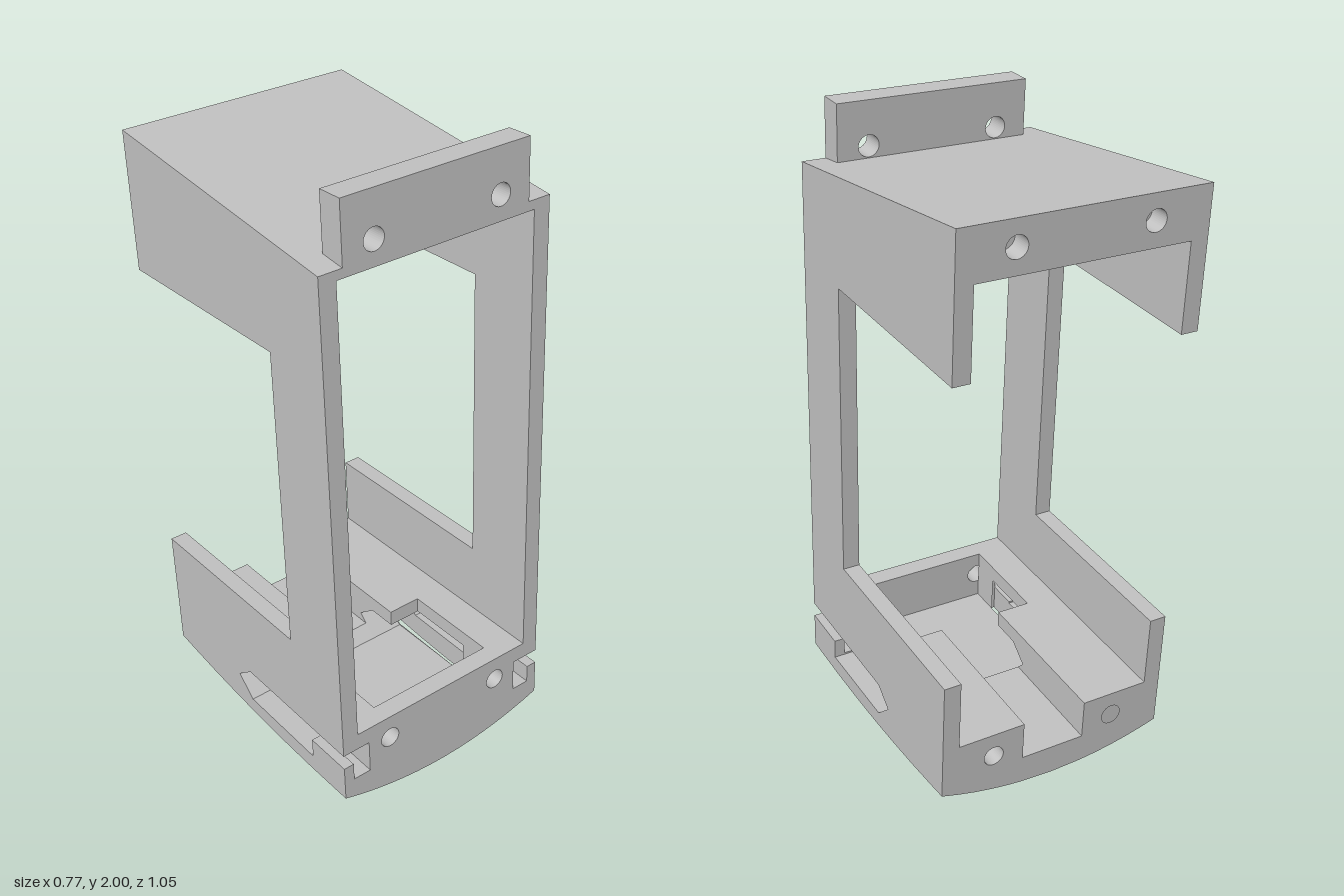
import * as THREE from 'three';

const TILT = 0.067;            // the whole frame leans back by this angle
const FRONT = 0.524, BACK = -0.397, PLATE = 0.46, REAR = -0.33;
const HALF = 0.385, INNER = 0.33, FLOOR = 0.28, CEILING = 1.76;

// Gently domed underside and sloping roof, in the leaning frame
const bottom = (x, z) =>
  0.005 + 0.1 * (z - 0.03) ** 2 + 0.062 * (x / HALF) ** 2 - Math.sin(TILT) * z;
const roof = (x, z) => 1.916 - (z - BACK) * 0.1386;

const range = (a, b, n) => Array.from({ length: n + 1 }, (_, i) => a + ((b - a) * i) / n);

export function createModel() {
  const group = new THREE.Group();
  group.name = 'bracketFrame';
  const grey = new THREE.MeshStandardMaterial({ color: 0xc0c0c0 });
  grey.name = 'grey';

  const circle = (x, y, r = 0.033) => new THREE.Path().absarc(x, y, r, 0, Math.PI * 2, true);
  const toShape = (pts) => new THREE.Shape(pts.map(([a, b]) => new THREE.Vector2(a, b)));

  // Move points lying on the underside or roof on to the curved surface
  function finish(name, geo, nominal) {
    const p = geo.attributes.position;
    for (let i = 0; i < p.count; i++) {
      const x = p.getX(i), y = p.getY(i), z = p.getZ(i);
      const [nx, nz] = nominal(x, z);
      for (const f of [bottom, roof]) {
        if (Math.abs(y - f(nx, nz)) < 1e-5) p.setY(i, f(x, z));
      }
    }
    geo.computeVertexNormals();
    const mesh = new THREE.Mesh(geo, grey);
    mesh.name = name;
    group.add(mesh);
  }

  // Slice across x: outline given as [z, y] for the middle of the slice
  function slice(name, x0, x1, outline, hole) {
    const xm = (x0 + x1) / 2;
    const flip = (pts) => pts.map(([z, y]) => [-z, y]);
    const shape = toShape(flip(outline(xm)));
    if (hole) shape.holes.push(toShape(flip(hole)));
    const geo = new THREE.ExtrudeGeometry(shape, { depth: x1 - x0, bevelEnabled: false });
    geo.rotateY(Math.PI / 2).translate(x0, 0, 0);
    finish(name, geo, (x, z) => [xm, z]);
  }
  function slicePair(name, x0, x1, outline, hole) {
    slice(name + 'Left', x0, x1, outline, hole);
    slice(name + 'Right', -x1, -x0, outline, hole);
  }

  // Plate facing front or back: outline given as [x, y] for the middle depth
  function plate(name, z0, z1, outline, holes) {
    const zm = (z0 + z1) / 2;
    const shape = toShape(outline(zm));
    shape.holes.push(...holes);
    const geo = new THREE.ExtrudeGeometry(shape, { depth: z1 - z0, bevelEnabled: false, curveSegments: 20 });
    geo.translate(0, 0, z0);
    finish(name, geo, (x) => [x, zm]);
  }

  const under = (x, z0, z1, n = 6) => range(z0, z1, n).map((z) => [z, bottom(x, z)]);

  // Side walls with the large open bay at the back
  slicePair('sideWall', INNER, HALF, (x) => [
    [FRONT, FLOOR], [FRONT, roof(x, FRONT)], [BACK, roof(x, BACK)], [BACK, 1.485],
    [0.285, 1.485], [0.28, 0.515], [BACK, 0.515], [BACK, FLOOR],
  ]);

  // Roof slab, its drilled rear end, and the drilled tab on top
  slice('roofSlab', -INNER, INNER, (x) => [
    [REAR, CEILING], [FRONT, CEILING], [FRONT, roof(x, FRONT)], [REAR, roof(x, REAR)],
  ]);
  plate('roofRearEnd', BACK, REAR, (z) => [
    [-INNER, CEILING], [INNER, CEILING], [INNER, roof(0, z)], [-INNER, roof(0, z)],
  ], [circle(-0.21, 1.838), circle(0.21, 1.838)]);
  plate('topTab', 0.442, FRONT, () => [
    [-0.31, 1.787], [0.31, 1.787], [0.31, 1.972], [-0.31, 1.972],
  ], [circle(-0.21, 1.836), circle(0.21, 1.836)]);

  // Base, in slices from the centre channel outwards
  slicePair('baseChannel', 0, 0.107, (x) => [
    ...under(x, BACK, PLATE), [PLATE, 0.11], [0.03, 0.11], [-0.01, 0.15], [BACK, 0.15],
  ]);
  slicePair('baseRecess', 0.107, 0.22, (x) => [
    ...under(x, REAR, PLATE), [PLATE, 0.11], [0.03, 0.11], [-0.037, 0.178],
    [0.03, 0.228], [0.13, 0.228], [0.13, FLOOR], [REAR, FLOOR],
  ]);
  slicePair('baseBlock', 0.22, 0.29, (x) => [
    ...under(x, REAR, PLATE), [PLATE, FLOOR], [REAR, FLOOR],
  ], [[0.36, 0.11], [0.36, 0.228], [0.03, 0.228], [-0.037, 0.178], [0.03, 0.115]]);

  // Outer base: pointed slot joined to the hooked slit at the front corner
  const hooked = (low) => (x) => [
    ...under(x, REAR, PLATE), [PLATE, low], [0.36, low], [0.36, 0.109],
    [0.03, 0.115], [-0.037, 0.178], [0.03, 0.228], [PLATE, 0.225],
    [PLATE, FLOOR], [REAR, FLOOR],
  ];
  slicePair('baseSlit', 0.29, 0.35, hooked(0.115));
  slicePair('baseLip', 0.35, HALF, hooked(0.175));

  // Front face of the base with hooked corner notches and two holes
  const notch = [
    [HALF, 0.175], [0.35, 0.175], [0.35, 0.115], [0.29, 0.115],
    [0.29, 0.225], [HALF, 0.225], [HALF, FLOOR],
  ];
  plate('baseFront', PLATE, FRONT, (z) => [
    ...range(-HALF, HALF, 14).map((x) => [x, bottom(x, z)]),
    ...notch,
    ...notch.map(([x, y]) => [-x, y]).reverse(),
  ], [circle(-0.21, 0.2), circle(0.21, 0.2)]);

  // Drilled rear ends of the base either side of the channel
  for (const s of [1, -1]) {
    plate(s > 0 ? 'baseRearLeft' : 'baseRearRight', BACK, REAR, (z) => [
      ...range(0.107, HALF, 5).map((x) => [s * x, bottom(x, z)]),
      [s * HALF, FLOOR], [s * 0.107, FLOOR],
    ], [circle(s * 0.21, 0.198)]);
  }

  // Lean the frame back
  group.rotation.x = -TILT;
  const model = new THREE.Group();
  model.name = 'holder';
  model.add(group);
  return model;
}
